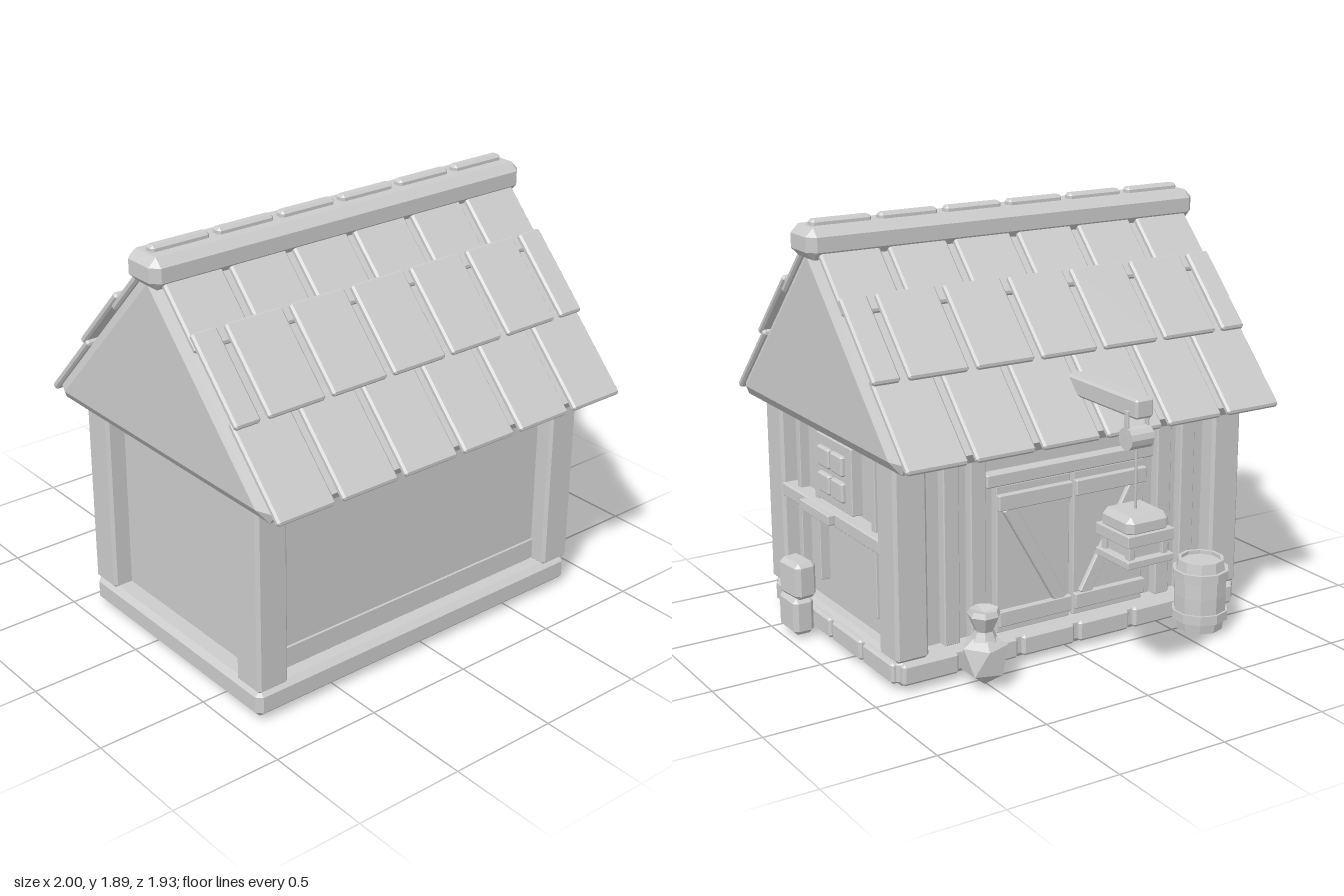
import * as THREE from 'three';
import { ConvexGeometry } from 'three/addons/geometries/ConvexGeometry.js';

const stone = new THREE.MeshStandardMaterial({ color: 0xcccccc });
stone.name = 'plainGrey';

const CX = -0.02, CZ = 0.16; // centre of the house

function add(parent, name, geometry, x = 0, y = 0, z = 0) {
  const m = new THREE.Mesh(geometry, stone);
  m.name = name;
  m.position.set(x, y, z);
  parent.add(m);
  return m;
}

// Box with chamfered edges, centred on the origin
function chamferBox(w, h, d, c) {
  const pts = [];
  for (const x of [-1, 1]) for (const y of [-1, 1]) for (const z of [-1, 1]) {
    const a = x * w / 2, b = y * h / 2, e = z * d / 2;
    pts.push(new THREE.Vector3(a, b - y * c, e - z * c),
      new THREE.Vector3(a - x * c, b, e - z * c),
      new THREE.Vector3(a - x * c, b - y * c, e));
  }
  return new ConvexGeometry(pts);
}

// Chamfered box given by its limits
function block(parent, name, x0, x1, y0, y1, z0, z1, c = 0.006) {
  return add(parent, name, chamferBox(x1 - x0, y1 - y0, z1 - z0, c),
    (x0 + x1) / 2, (y0 + y1) / 2, (z0 + z1) / 2);
}

function group(parent, name) {
  const g = new THREE.Group();
  g.name = name;
  parent.add(g);
  return g;
}

function flat(geometry) {
  const g = geometry.index ? geometry.toNonIndexed() : geometry;
  g.computeVertexNormals();
  return g;
}

function buildWalls(root) {
  const g = group(root, 'walls');
  block(g, 'foundation', -0.915, 0.855, 0.018, 0.142, -0.435, 0.77, 0.025);
  for (let i = 0; i < 4; i++) {
    const z = 0.585 - i * 0.287;
    block(g, 'sideStone', 0.8, 0.875, 0.03, 0.125, z - 0.132, z + 0.132, 0.012);
  }
  for (let i = 0; i < 6; i++) {
    const x = CX + (i - 2.5) * 0.292;
    block(g, 'backStone', x - 0.134, x + 0.134, 0.03, 0.125, -0.455, -0.38, 0.012);
  }
  block(g, 'wallCore', -0.82, 0.785, 0.1, 1.01, -0.36, 0.68, 0.002);
  block(g, 'frontFootBoard', -0.76, 0.73, 0.14, 0.24, 0.6, 0.688, 0.003);
  // Corner posts and head beams
  for (const sx of [-1, 1]) for (const sz of [-1, 1]) {
    add(g, 'cornerPost', chamferBox(0.155, 0.88, 0.155, 0.014),
      CX + sx * 0.81, 0.57, CZ + sz * 0.525);
  }
  for (const s of [-1, 1]) {
    add(g, 'headBeam', chamferBox(1.5, 0.07, 0.12, 0.014), CX, 0.99, CZ + s * 0.525);
    add(g, 'headBeamSide', chamferBox(0.12, 0.07, 0.95, 0.014), CX + s * 0.81, 0.99, CZ);
  }
}

function buildWindowSide(root) {
  const g = group(root, 'windowSide');
  for (const z of [0.515, 0.338, -0.188]) {
    block(g, 'stud', 0.77, 0.83, 0.245, 0.945, z - 0.018, z + 0.018, 0.003);
  }
  block(g, 'rail', 0.77, 0.865, 0.565, 0.628, -0.297, 0.62);
  block(g, 'windowBoard', 0.77, 0.835, 0.64, 0.94, -0.01, 0.315, 0.004);
  block(g, 'windowSill', 0.8, 0.9, 0.58, 0.626, 0.095, 0.37, 0.004);
  for (const z of [0.225, 0.1]) for (const y of [0.848, 0.73]) {
    add(g, 'windowPane', chamferBox(0.03, 0.09, 0.108, 0.008), 0.84, y, z);
  }
  // Two stacked rocks beside the wall
  block(g, 'lowerRock', 0.88, 0.98, 0.016, 0.187, 0.29, 0.46, 0.02);
  const top = block(g, 'upperRock', 0.885, 0.99, 0.195, 0.365, 0.255, 0.415, 0.02);
  top.rotation.y = 0.12;
}

function buildDoorSide(root) {
  const g = group(root, 'doorSide');
  for (const x of [0.45, 0.58, -0.51, -0.64]) {
    add(g, 'wallPlank', chamferBox(0.075, 0.84, 0.06, 0.005), x, 0.56, -0.375);
  }
  block(g, 'doorLintel', -0.45, 0.41, 0.8, 0.86, -0.41, -0.33);
  // Double door, each leaf with two bars and a brace
  for (const s of [-1, 1]) {
    const cx = CX + s * 0.195;
    add(g, 'doorLeaf', chamferBox(0.37, 0.66, 0.05, 0.004), cx, 0.47, -0.375);
    for (const y of [0.21, 0.73]) {
      add(g, 'doorBar', chamferBox(0.37, 0.07, 0.03, 0.004), cx, y, -0.41);
    }
    const brace = add(g, 'doorBrace', chamferBox(0.06, 0.54, 0.024, 0.004), cx, 0.47, -0.409);
    brace.rotation.z = -s * 0.52;
  }
}

function buildRoof(root) {
  const g = group(root, 'roof');
  // Gable prism with bevelled ends
  const pts = [];
  const section = (x, list) => list.forEach(([z, y]) => pts.push(new THREE.Vector3(x, y, CZ + z)));
  for (const s of [-1, 1]) {
    section(CX + s * 0.947, [[-0.675, 1.035], [0.675, 1.035], [0, 1.74]]);
    section(CX + s * 0.912, [[-0.72, 0.985], [0.72, 0.985], [-0.754, 1.03], [0.754, 1.03], [0, 1.82]]);
  }
  add(g, 'gableBody', new ConvexGeometry(pts));

  // Tiles: start and end down the slope, and height above it
  const slope = Math.atan(1.05), c = Math.cos(slope), s = Math.sin(slope);
  const rows = [[0.7, 1.135, 0.016, false], [0.33, 0.74, 0.04, true], [0.05, 0.4, 0.016, false]];
  for (const side of [-1, 1]) for (const [s0, s1, h, shifted] of rows) {
    const mid = (s0 + s1) / 2;
    for (let i = 0; i < (shifted ? 7 : 6); i++) {
      const x = CX + (i - (shifted ? 3 : 2.5)) * 0.317;
      const x0 = Math.max(x - 0.139, -0.953), x1 = Math.min(x + 0.139, 0.917);
      const tile = add(g, 'roofTile', chamferBox(x1 - x0, 0.032, s1 - s0, 0.009),
        (x0 + x1) / 2, 1.82 - s * mid + c * h, CZ + side * (c * mid + s * h));
      tile.rotation.x = side * slope;
    }
  }
  add(g, 'ridgeBeam', chamferBox(1.965, 0.135, 0.21, 0.036), CX, 1.802, CZ);
  for (let i = 0; i < 6; i++) {
    add(g, 'ridgeCap', chamferBox(0.278, 0.06, 0.052, 0.012), CX + (i - 2.5) * 0.317, 1.865, 0.155);
  }
}

function buildHoist(root) {
  const g = group(root, 'hoist');
  const x = CX, z = -0.86;
  block(g, 'hoistBeam', x - 0.045, x + 0.045, 1.162, 1.246, -0.915, -0.25, 0.01);
  const wheel = add(g, 'pulley', flat(new THREE.CylinderGeometry(0.048, 0.048, 0.11, 12)), x, 1.073, z);
  wheel.rotation.z = Math.PI / 2;
  for (const s of [-1, 1]) {
    block(g, 'pulleyHanger', x + s * 0.05 - 0.006, x + s * 0.05 + 0.006, 1.07, 1.19, z - 0.012, z + 0.012, 0.002);
  }
  add(g, 'rope', new THREE.CylinderGeometry(0.006, 0.006, 0.3, 6), x, 0.9, z);
  // Hanging crate
  block(g, 'crateBody', x - 0.08, x + 0.08, 0.57, 0.7, z - 0.08, z + 0.08, 0.004);
  block(g, 'crateLid', x - 0.105, x + 0.105, 0.68, 0.77, z - 0.105, z + 0.105, 0.025);
  block(g, 'crateBand', x - 0.115, x + 0.115, 0.65, 0.7, z - 0.115, z + 0.115, 0.003);
  block(g, 'crateBase', x - 0.115, x + 0.115, 0.56, 0.592, z - 0.115, z + 0.115, 0.003);
  for (const sx of [-1, 1]) for (const sz of [-1, 1]) {
    add(g, 'crateCorner', chamferBox(0.03, 0.08, 0.03, 0.003), x + sx * 0.083, 0.62, z + sz * 0.083);
  }
}

function buildGoods(root) {
  const lathe = (pts, n) => flat(new THREE.LatheGeometry(pts.map(p => new THREE.Vector2(...p)), n));
  const barrel = group(root, 'barrel');
  barrel.position.set(-0.61, 0, -0.557);
  add(barrel, 'barrelBody', lathe([[0, 0.015], [0.105, 0.015], [0.118, 0.1], [0.12, 0.18],
    [0.118, 0.26], [0.105, 0.342], [0.09, 0.342], [0.09, 0.325], [0, 0.325]], 10));
  for (const [y, h] of [[0.085, 0.042], [0.275, 0.042]]) {
    add(barrel, 'barrelHoop', lathe([[0.1, y - h / 2], [0.128, y - h / 2], [0.128, y + h / 2], [0.1, y + h / 2]], 10));
  }
  const sack = group(root, 'sack');
  sack.position.set(0.51, 0, -0.543);
  const ball = new THREE.IcosahedronGeometry(1, 0);
  ball.rotateZ(-Math.atan(0.618034));
  ball.scale(0.112, 0.125, 0.112);
  add(sack, 'sackBody', flat(ball), 0, 0.125, 0);
  add(sack, 'sackNeck', lathe([[0.06, 0.2], [0.04, 0.245], [0.072, 0.315], [0.062, 0.338], [0, 0.32]], 7));
}

export function createModel() {
  const root = new THREE.Group();
  root.name = 'storehouse';
  buildWalls(root);
  buildWindowSide(root);
  buildDoorSide(root);
  buildRoof(root);
  buildHoist(root);
  buildGoods(root);
  return root;
}
